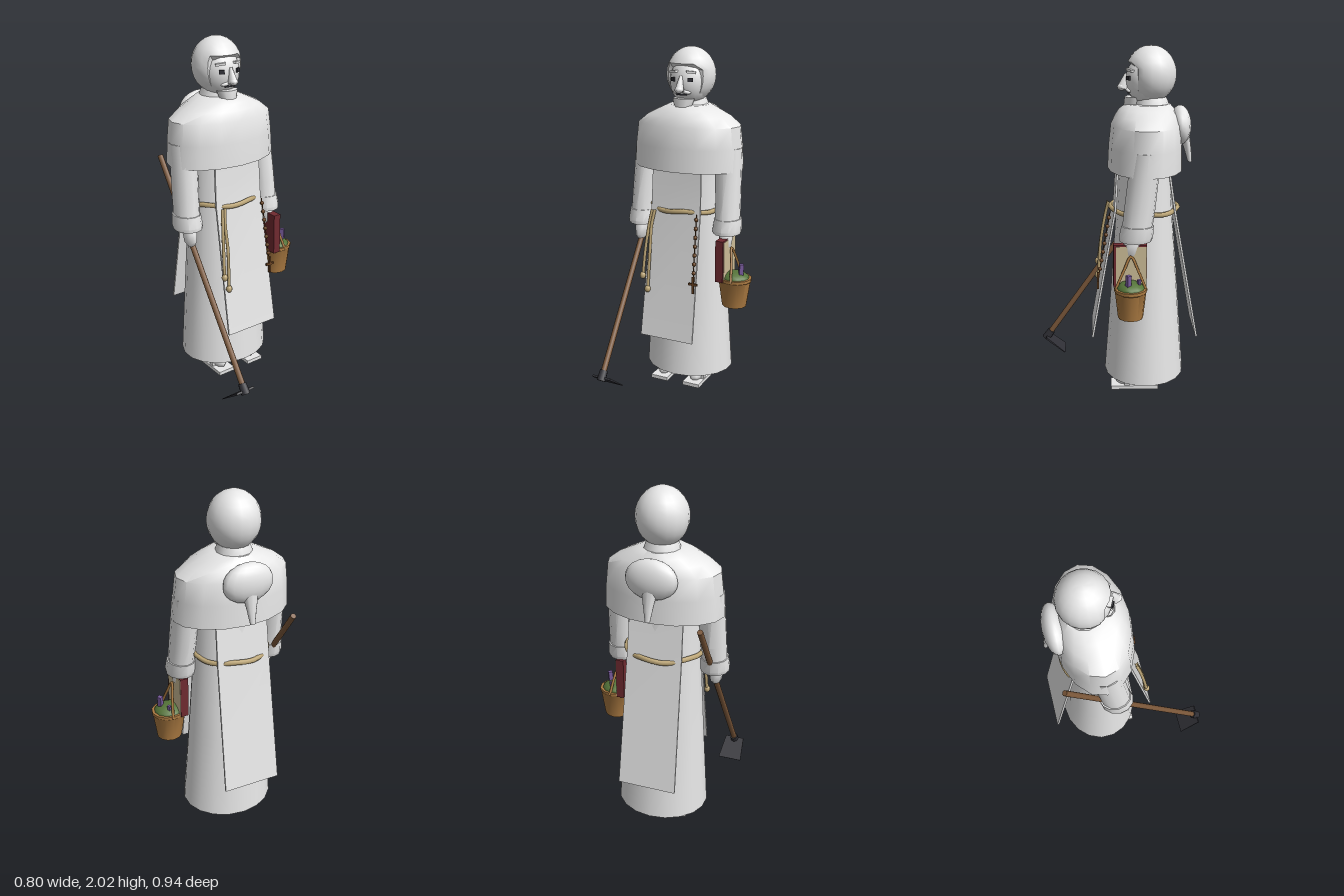
import * as THREE from 'three';
import { toCreasedNormals } from 'three/addons/utils/BufferGeometryUtils.js';

const mat = (name, color, side = THREE.FrontSide) => {
  const m = new THREE.MeshStandardMaterial({ color, side });
  m.name = name;
  return m;
};
const V = (x, y, z) => new THREE.Vector3(x, y, z);

export function createModel() {
  const white = mat('white cloth', 0xebebeb);
  const rope = mat('rope', 0xbfa878);
  const wood = mat('wood', 0x7c583a);
  const bead = mat('dark wood', 0x6b4423);
  const iron = mat('iron', 0x303036);
  const maroon = mat('maroon leather', 0x702a30);
  const cream = mat('cream paper', 0xcdbd98);
  const wicker = mat('wicker', 0xac7b42);
  const green = mat('leaves', 0x56753a);
  const purple = mat('flowers', 0x7a5c9e);

  const root = new THREE.Group();
  root.name = 'friar';
  const CX = -0.043;

  const add = (name, geo, material, pos, rot) => {
    const m = new THREE.Mesh(geo, material);
    m.name = name;
    if (pos) m.position.set(...pos);
    if (rot) m.rotation.set(...rot);
    root.add(m);
    return m;
  };
  const box = (w, h, d) => new THREE.BoxGeometry(w, h, d);
  const ball = (rx, ry, rz, w = 16, h = 12) => new THREE.SphereGeometry(1, w, h).scale(rx, ry, rz);
  const tube = (pts, r, closed = false, n = 24, sides = 6) =>
    new THREE.TubeGeometry(new THREE.CatmullRomCurve3(pts, closed), n, r, sides, closed);

  // Elliptical rings [y, rx, rz, cx, cz], listed upward, skinned and capped
  const loft = (rings, n = 16, crease = 0.6) => {
    const p = [], idx = [];
    rings.forEach(([y, rx, rz, cx, cz]) => {
      for (let i = 0; i < n; i++) {
        const a = (i / n) * Math.PI * 2;
        p.push(cx + rx * Math.sin(a), y, cz + rz * Math.cos(a));
      }
    });
    const last = (rings.length - 1) * n, c = rings.length * n;
    for (const r of [rings[0], rings[rings.length - 1]]) p.push(r[3], r[0], r[4]);
    for (let i = 0; i < n; i++) {
      const k = (i + 1) % n;
      for (let j = 0; j < last; j += n) idx.push(j + i, j + k, j + n + k, j + i, j + n + k, j + n + i);
      idx.push(c, k, i, c + 1, last + i, last + k);
    }
    const g = new THREE.BufferGeometry();
    g.setAttribute('position', new THREE.Float32BufferAttribute(p, 3));
    g.setIndex(idx);
    return toCreasedNormals(g, crease);
  };

  // Cylinder between two points
  const rod = (name, a, b, r0, r1, material, sides = 10) => {
    const m = add(name, new THREE.CylinderGeometry(r1, r0, a.distanceTo(b), sides), material);
    m.position.copy(a).lerp(b, 0.5);
    m.quaternion.setFromUnitVectors(V(0, 1, 0), b.clone().sub(a).normalize());
    return m;
  };

  // Robe and shoulder cape
  add('robe', loft([
    [0.08, 0.268, 0.235, -0.033, -0.165], [0.6, 0.236, 0.196, -0.036, -0.164],
    [1.1, 0.206, 0.16, -0.04, -0.16], [1.42, 0.2, 0.14, CX, -0.155],
  ], 18), white);
  add('cape', loft([
    [1.32, 0.335, 0.213, CX, -0.162], [1.45, 0.328, 0.208, CX, -0.163],
    [1.57, 0.314, 0.197, CX, -0.165], [1.62, 0.25, 0.175, CX, -0.166],
    [1.655, 0.175, 0.153, CX, -0.168], [1.68, 0.12, 0.125, CX, -0.175],
  ], 16, 0.75), white);
  add('collar', loft([
    [1.62, 0.115, 0.11, CX, -0.195], [1.69, 0.095, 0.095, CX, -0.195], [1.73, 0.08, 0.08, CX, -0.19],
  ], 12), white);

  // Scapular panels: three levels of [y, half width, z]
  const panel = (name, levels) => {
    const g = box(1, 1, 0.012);
    const tall = new THREE.BoxGeometry(1, 1, 0.012, 1, 2);
    g.dispose();
    const p = tall.attributes.position;
    for (let i = 0; i < p.count; i++) {
      const [y, hw, z] = levels[Math.round(1 - p.getY(i) * 2)];
      p.setXYZ(i, CX + p.getX(i) * 2 * hw, y, z + p.getZ(i));
    }
    add(name, toCreasedNormals(tall, 0.5), white);
  };
  panel('frontScapular', [[1.36, 0.15, -0.005], [1.1, 0.155, 0.01], [0.34, 0.167, 0.142]]);
  panel('backScapular', [[1.36, 0.15, -0.285], [1.1, 0.155, -0.325], [0.34, 0.167, -0.463]]);

  // Rope belt with hanging knotted ends
  const beltPts = [];
  for (let i = 0; i < 24; i++) {
    const a = (i / 24) * Math.PI * 2;
    beltPts.push(V(CX + 0.213 * Math.sin(a), 1.09 + 0.005 * Math.sin(a * 5), -0.158 + 0.195 * Math.cos(a)));
  }
  add('belt', tube(beltPts, 0.014, true, 64), rope);
  [[-0.178, -0.212, 0.7], [-0.162, -0.182, 0.62]].forEach(([x0, x1, y]) => {
    add('ropeEnd', tube([V(x0, 1.09, 0.045), V(x0 - 0.012, 1.0, 0.065), V(x1 + 0.008, 0.85, 0.09), V(x1, y, 0.108)], 0.01), rope);
    add('ropeKnot', ball(0.018, 0.022, 0.018, 10, 8), rope, [x1, y, 0.11]);
  });

  // Rosary
  add('rosaryCord', tube([V(0.1, 1.09, 0.04), V(0.106, 0.9, 0.075), V(0.112, 0.7, 0.108)], 0.003), bead);
  for (let i = 0; i < 7; i++) {
    const t = i / 6;
    add('rosaryBead', ball(0.012, 0.012, 0.012, 8, 6), bead, [0.101 + 0.01 * t, 1.06 - 0.3 * t, 0.046 + 0.052 * t]);
  }
  add('crossUpright', box(0.012, 0.1, 0.012), bead, [0.112, 0.69, 0.11]);
  add('crossBar', box(0.054, 0.012, 0.012), bead, [0.112, 0.695, 0.11]);

  // Arms, cuffs, hands, feet
  for (const s of [-1, 1]) {
    const x0 = CX + s * 0.255, x1 = CX + s * 0.274;
    add('sleeve', loft([
      [0.98, 0.072, 0.082, x1, -0.1], [1.14, 0.072, 0.085, x1 - s * 0.005, -0.12], [1.45, 0.075, 0.082, x0, -0.155],
    ], 12), white);
    add('cuff', loft([
      [0.965, 0.08, 0.09, x1, -0.097], [0.985, 0.084, 0.094, x1, -0.1], [1.05, 0.077, 0.09, x1, -0.11],
    ], 12), white);
    add('hand', loft([
      [0.865, 0.018, 0.025, x1, -0.07], [0.89, 0.033, 0.045, x1, -0.075],
      [0.94, 0.039, 0.05, x1, -0.08], [0.99, 0.03, 0.036, x1, -0.09],
    ], 10, 0.9), white);

    const fx = CX + s * 0.106;
    add('sole', box(0.108, 0.022, 0.28), white, [fx, 0.011, -0.105]);
    add('foot', ball(0.045, 0.05, 0.12, 12, 8), white, [fx, 0.045, -0.11]);
    add('ankle', new THREE.CylinderGeometry(0.035, 0.04, 0.12, 10), white, [fx, 0.1, -0.17]);
    add('sandalStrap', new THREE.CylinderGeometry(0.052, 0.052, 0.03, 12), white, [fx, 0.036, -0.06], [Math.PI / 2, 0, 0]);
  }

  // Head: cap of hair cut flat around the face
  const cap = ball(0.142, 0.157, 0.143, 18, 14);
  const cp = cap.attributes.position;
  for (let i = 0; i < cp.count; i++) {
    if (cp.getY(i) < 0.05) cp.setZ(i, Math.min(cp.getZ(i), 0.075));
  }
  add('hair', toCreasedNormals(cap, 0.7), white, [CX, 1.843, -0.19]);
  add('face', ball(0.115, 0.14, 0.125), white, [CX, 1.81, -0.175]);
  add('beard', loft([
    [1.64, 0.035, 0.028, CX, -0.07], [1.67, 0.05, 0.04, CX, -0.08], [1.72, 0.065, 0.045, CX, -0.09],
  ], 10, 0.9), white);
  const nose = new THREE.CylinderGeometry(0.008, 0.026, 0.085, 8).scale(1, 1, 1.3);
  add('nose', nose, white, [CX, 1.805, -0.046], [-0.25, 0, 0]);
  add('noseTip', ball(0.024, 0.02, 0.026, 10, 8), white, [CX, 1.772, -0.029]);
  add('mouth', box(0.06, 0.008, 0.009), iron, [CX, 1.742, -0.066]);
  for (const s of [-1, 1]) {
    add('eye', box(0.03, 0.022, 0.009), iron, [CX + s * 0.053, 1.825, -0.063], [0, s * 0.48, 0]);
    add('eyebrow', box(0.055, 0.013, 0.022), white, [CX + s * 0.053, 1.866, -0.075], [0, s * 0.48, -s * 0.12]);
    add('moustache', ball(0.03, 0.011, 0.016, 8, 6), white, [CX + s * 0.026, 1.757, -0.066], [0, s * 0.3, -s * 0.2]);
  }

  // Lowered hood with its tail
  add('hood', ball(0.143, 0.11, 0.062), white, [CX, 1.56, -0.358]);
  add('hoodTail', loft([
    [1.35, 0.014, 0.012, CX, -0.418], [1.42, 0.026, 0.02, CX, -0.405], [1.54, 0.05, 0.035, CX, -0.375],
  ], 10, 0.9), white);

  // Hoe
  const top = V(-0.313, 1.318, -0.378), foot = V(-0.313, 0.165, 0.432);
  rod('hoeHandle', foot, top, 0.017, 0.016, wood);
  const along = top.clone().sub(foot).normalize();
  rod('hoeCollar', foot.clone().addScaledVector(along, -0.022), foot.clone().addScaledVector(along, 0.04), 0.027, 0.024, iron, 8);
  const blade = new THREE.BoxGeometry(0.145, 0.012, 0.15);
  const bp = blade.attributes.position;
  for (let i = 0; i < bp.count; i++) {
    if (bp.getZ(i) > 0) bp.setX(i, bp.getX(i) * 0.8);
    else bp.setY(i, bp.getY(i) * 0.35);
  }
  blade.computeVertexNormals();
  add('hoeBlade', blade, iron, [-0.313, 0.121, 0.382], [-0.66, 0, 0]);

  // Book
  add('bookCover', box(0.046, 0.245, 0.185), maroon, [0.234, 0.822, -0.068]);
  add('bookPages', box(0.006, 0.232, 0.17), cream, [0.257, 0.82, -0.074]);

  // Basket with leaves and flowers
  const bx = 0.296, bz = -0.07;
  add('basket', loft([
    [0.54, 0.072, 0.07, bx, bz], [0.69, 0.095, 0.087, bx, bz], [0.695, 0.1, 0.091, bx, bz], [0.712, 0.1, 0.091, bx, bz],
  ], 12, 0.6), wicker);
  add('leaves', ball(0.087, 0.045, 0.08, 12, 8), green, [bx, 0.705, bz]);
  add('basketHandle', tube([
    V(0.305, 0.7, 0.017), V(0.288, 0.81, -0.033), V(0.272, 0.885, -0.072), V(0.288, 0.81, -0.111), V(0.305, 0.7, -0.157),
  ], 0.008), wicker);
  [[0.339, 0.745, -0.055, 0.11, 0.024], [0.31, 0.735, -0.115, 0.06, 0.016]].forEach(([x, y, z, h, w]) =>
    add('flower', box(w, h, w), purple, [x, y, z], [0, 0.6, -0.06]));

  return root;
}
